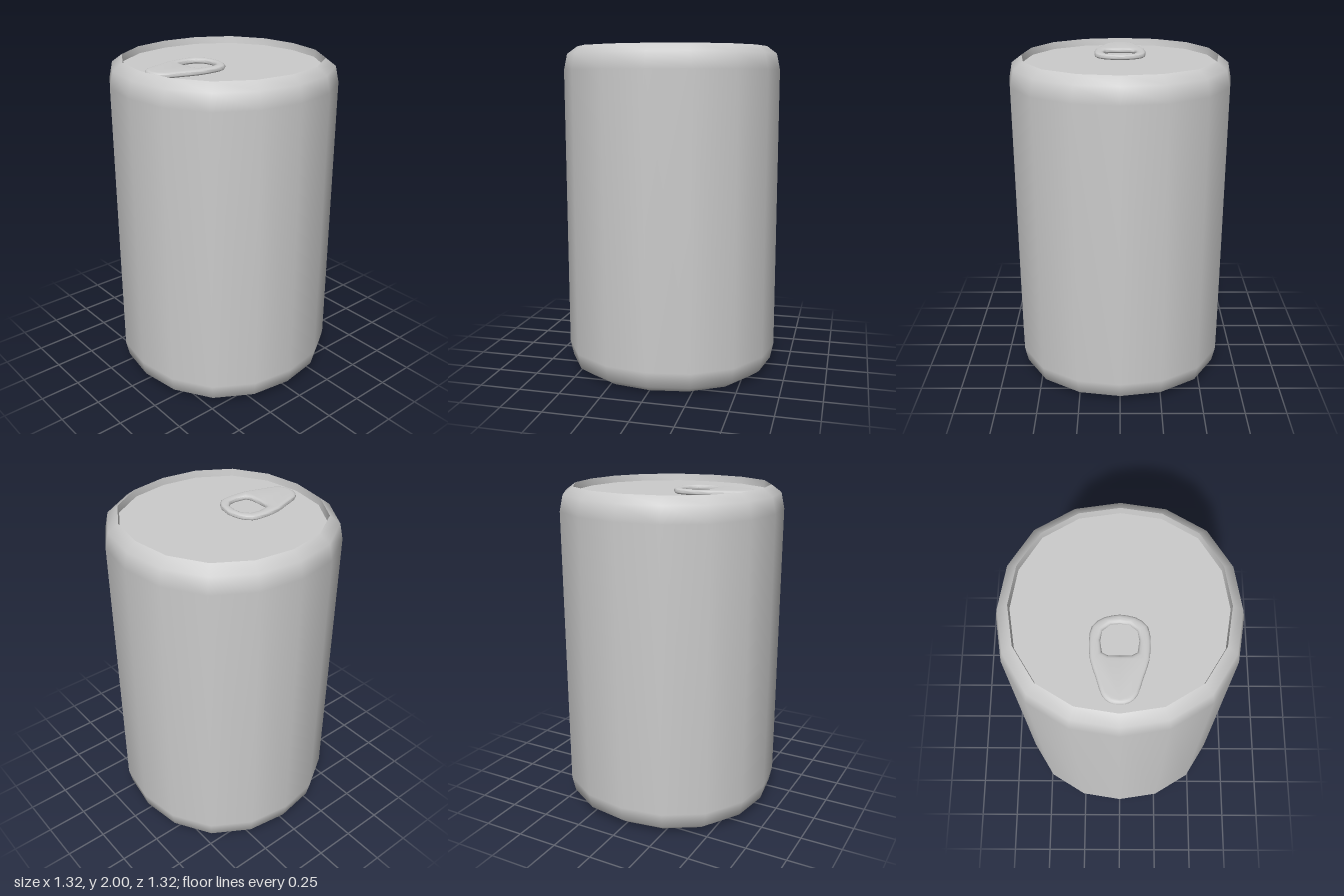
import * as THREE from 'three';
import { toCreasedNormals } from 'three/addons/utils/BufferGeometryUtils.js';

const SIDES = 16;
const V = (x, y) => new THREE.Vector2(x, y);

// Sixteen-sided lathe whose diagonals bulge slightly
function turned(profile) {
  const geo = new THREE.LatheGeometry(profile.map(([r, y]) => V(r, y)), SIDES);
  const p = geo.attributes.position;
  for (let i = 0; i < p.count; i++) {
    const x = p.getX(i), z = p.getZ(i);
    const k = 1 + 0.032 * Math.sin(2 * Math.atan2(z, x)) ** 2;
    p.setX(i, x * k);
    p.setZ(i, z * k);
  }
  return geo;
}

// Closed outline, mirrored from its +x half (both ends on x = 0)
function mirrored(half) {
  const left = half.slice(1, -1).reverse().map(([x, z]) => [-x, z]);
  return [...half, ...left].map(([x, z]) => V(x, z));
}

export function createModel() {
  const group = new THREE.Group();
  group.name = 'drinkCan';
  const material = new THREE.MeshStandardMaterial({ color: 0xcccccc });
  const add = (name, geo) => {
    const mesh = new THREE.Mesh(geo, material);
    mesh.name = name;
    group.add(mesh);
    return mesh;
  };

  // Smooth outer wall with rounded shoulders
  add('body', turned([
    [0.58, 0], [0.64, 0.045], [0.66, 0.14], [0.66, 1.86], [0.64, 1.955], [0.58, 2],
  ]));

  // Recessed ends with a short rim wall
  add('lid', toCreasedNormals(turned([[0.58, 2], [0.574, 1.957], [0, 1.957]]), 0.6));
  add('base', toCreasedNormals(turned([[0, 0.043], [0.574, 0.043], [0.58, 0]]), 0.6));

  // Pull tab: rounded plate with a finger hole
  const outline = new THREE.Shape(new THREE.SplineCurve([
    ...mirrored([
      [0, 0.04], [0.08, 0.055], [0.143, 0.105], [0.157, 0.19], [0.15, 0.29],
      [0.12, 0.385], [0.09, 0.475], [0.05, 0.515], [0, 0.526],
    ]), V(0, 0.04),
  ]).getPoints(32).slice(0, -1));
  outline.holes.push(new THREE.Path(mirrored([
    [0, 0.09], [0.05, 0.097], [0.09, 0.13], [0.1, 0.185], [0.09, 0.25], [0.06, 0.265], [0, 0.267],
  ])));
  const tabGeo = new THREE.ExtrudeGeometry(outline, {
    depth: 0.006, bevelThickness: 0.013, bevelSize: 0.022, bevelOffset: -0.022, bevelSegments: 3,
  });
  tabGeo.rotateX(Math.PI / 2);
  const tab = add('pullTab', toCreasedNormals(tabGeo, 0.9));
  tab.position.y = 1.974;

  return group;
}
